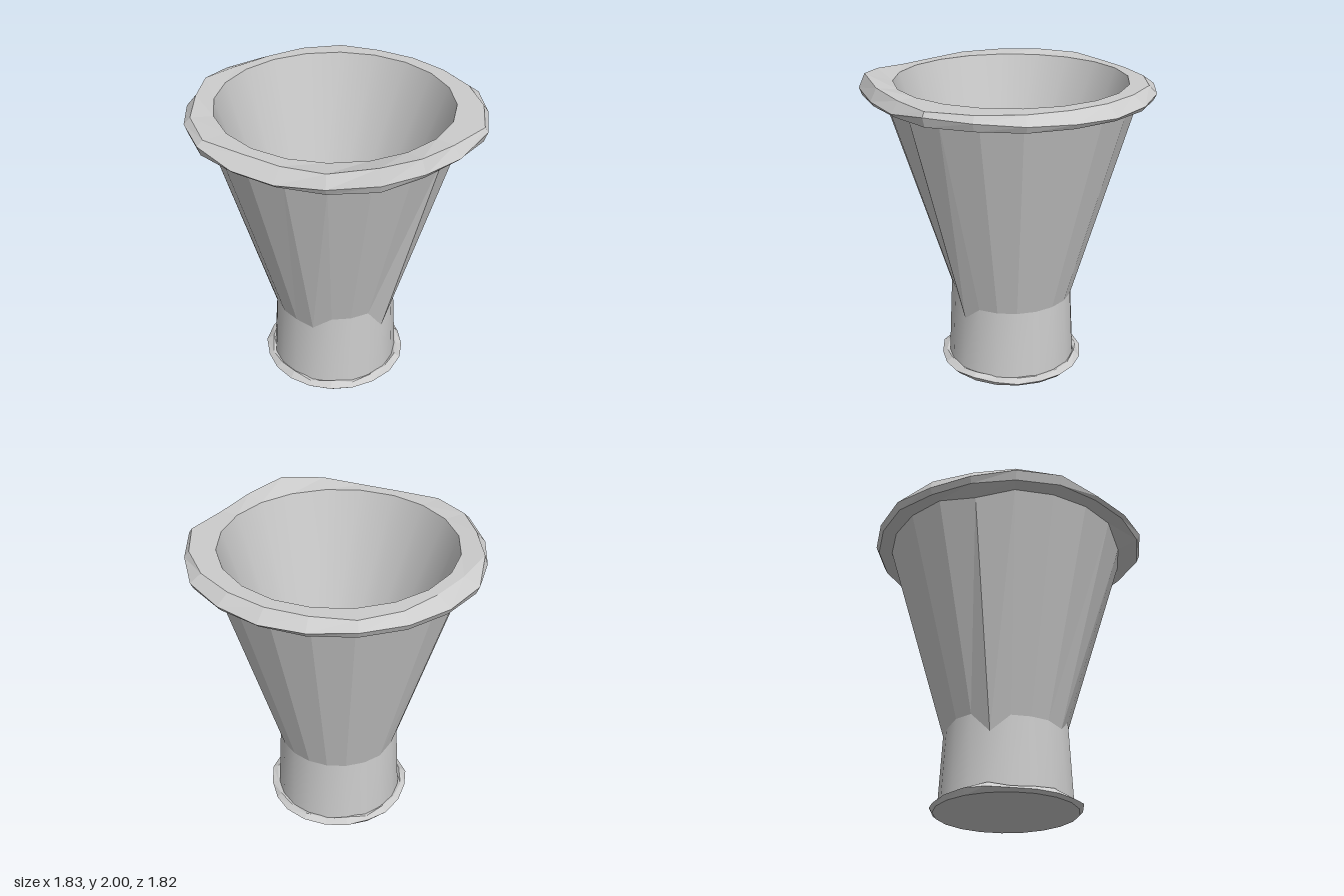
import * as THREE from 'three';

const SIDES = 20;

// A ring is { r, y }; each value is a number or a list with one entry per side, from +z towards +x
const at = (v, i) => (Array.isArray(v) ? v[i] : v);

// Skin between successive rings
function loft(rings) {
  const pos = [], index = [];
  rings.forEach(({ r, y }, k) => {
    for (let i = 0; i < SIDES; i++) {
      const a = (i / SIDES) * Math.PI * 2;
      pos.push(Math.sin(a) * at(r, i), at(y, i), Math.cos(a) * at(r, i));
      if (k === 0) continue;
      const j = (i + 1) % SIDES, lo = (k - 1) * SIDES, hi = k * SIDES;
      index.push(lo + i, lo + j, hi + j, lo + i, hi + j, hi + i);
    }
  });
  const g = new THREE.BufferGeometry();
  g.setAttribute('position', new THREE.Float32BufferAttribute(pos, 3));
  g.setIndex(index);
  g.computeVertexNormals();
  return g;
}

export function createModel() {
  const group = new THREE.Group();
  const smooth = new THREE.MeshStandardMaterial({ color: 0xcccccc, side: THREE.DoubleSide });
  const faceted = smooth.clone();
  faceted.flatShading = true;
  const add = (name, geometry, material) => {
    const mesh = new THREE.Mesh(geometry, material);
    mesh.name = name;
    group.add(mesh);
  };
  const disc = (r, y, up) =>
    new THREE.CircleGeometry(r, SIDES).rotateX(up ? -Math.PI / 2 : Math.PI / 2).translate(0, y, 0);

  // Uneven seam between neck and bowl
  const seam = {
    r: 0.405,
    y: [0.5, 0.48, 0.57, 0.57, 0.57, 0.4, 0.5, 0.5, 0.5, 0.5,
      0.5, 0.5, 0.5, 0.5, 0.5, 0.53, 0.53, 0.4, 0.5, 0.5],
  };

  // Foot: a thin wavy flange with a flat underside
  const footTop = {
    r: [0.44, 0.45, 0.44, 0.45, 0.44, 0.44, 0.45, 0.44, 0.45, 0.44,
      0.45, 0.44, 0.44, 0.45, 0.44, 0.44, 0.45, 0.44, 0.45, 0.44],
    y: [0.06, 0.04, 0.06, 0.04, 0.05, 0.04, 0.06, 0.04, 0.05, 0.04,
      0.05, 0.04, 0.06, 0.04, 0.05, 0.04, 0.05, 0.07, 0.04, 0.05],
  };
  const footEdge = {
    r: [0.48, 0.48, 0.49, 0.48, 0.48, 0.49, 0.49, 0.48, 0.48, 0.49,
      0.49, 0.48, 0.48, 0.48, 0.48, 0.48, 0.48, 0.49, 0.48, 0.48],
    y: [0.02, 0.02, 0.03, 0.02, 0.02, 0.03, 0.04, 0.03, 0.02, 0.03,
      0.03, 0.02, 0.02, 0.03, 0.02, 0.03, 0.04, 0.03, 0.02, 0.02],
  };
  add('foot', loft([{ r: 0.46, y: 0 }, footEdge, footTop, { r: 0.42, y: 0.04 }]), faceted);
  add('footUnderside', disc(0.46, 0, false), faceted);

  // Neck and bowl; part of the bowl's top edge dips lower
  add('neck', loft([{ r: 0.43, y: 0.03 }, seam]), smooth);
  const dip = (i) => (i >= 2 && i <= 4 ? 1.8 : i === 17 ? 1.82 : 1.86);
  const bowlTopY = Array.from({ length: SIDES }, (_, i) => dip(i));
  const bowlTop = { r: bowlTopY.map((y) => 0.8 - (1.86 - y) * 0.2), y: bowlTopY };
  add('bowlOuter', loft([seam, bowlTop]), faceted);

  // Rim: an irregular, hand-worked lip
  const rimR = [0.91, 0.92, 0.94, 0.95, 0.91, 0.91, 0.95, 0.93, 0.94, 0.92,
    0.91, 0.91, 0.91, 0.91, 0.91, 0.92, 0.9, 0.91, 0.92, 0.93];
  const rimEdge = {
    r: rimR,
    y: [1.88, 1.88, 1.9, 1.91, 1.89, 1.88, 1.92, 1.91, 1.9, 1.89,
      1.88, 1.89, 1.9, 1.9, 1.9, 1.91, 1.9, 1.9, 1.92, 1.92],
  };
  const rimCrest = {
    r: [0.82, 0.83, 0.89, 0.91, 0.87, 0.86, 0.93, 0.9, 0.87, 0.84,
      0.83, 0.83, 0.86, 0.84, 0.81, 0.82, 0.88, 0.85, 0.88, 0.89],
    y: [1.95, 1.95, 1.97, 2, 1.97, 1.95, 1.95, 1.95, 1.95, 1.95,
      1.95, 1.95, 1.95, 1.95, 1.95, 1.95, 1.96, 1.97, 1.96, 1.95],
  };
  const rimUnder = { r: rimR.map((r) => r - 0.02), y: 1.86 };
  const mouth = { r: 0.74, y: 1.95 };
  add('rim', loft([bowlTop, rimUnder, rimEdge, rimCrest, mouth]), faceted);

  // Hollow inside
  add('bowlInner', loft([mouth, { r: 0.44, y: 0.92 }]), smooth);
  add('bowlFloor', disc(0.44, 0.92, true), faceted);

  return group;
}
